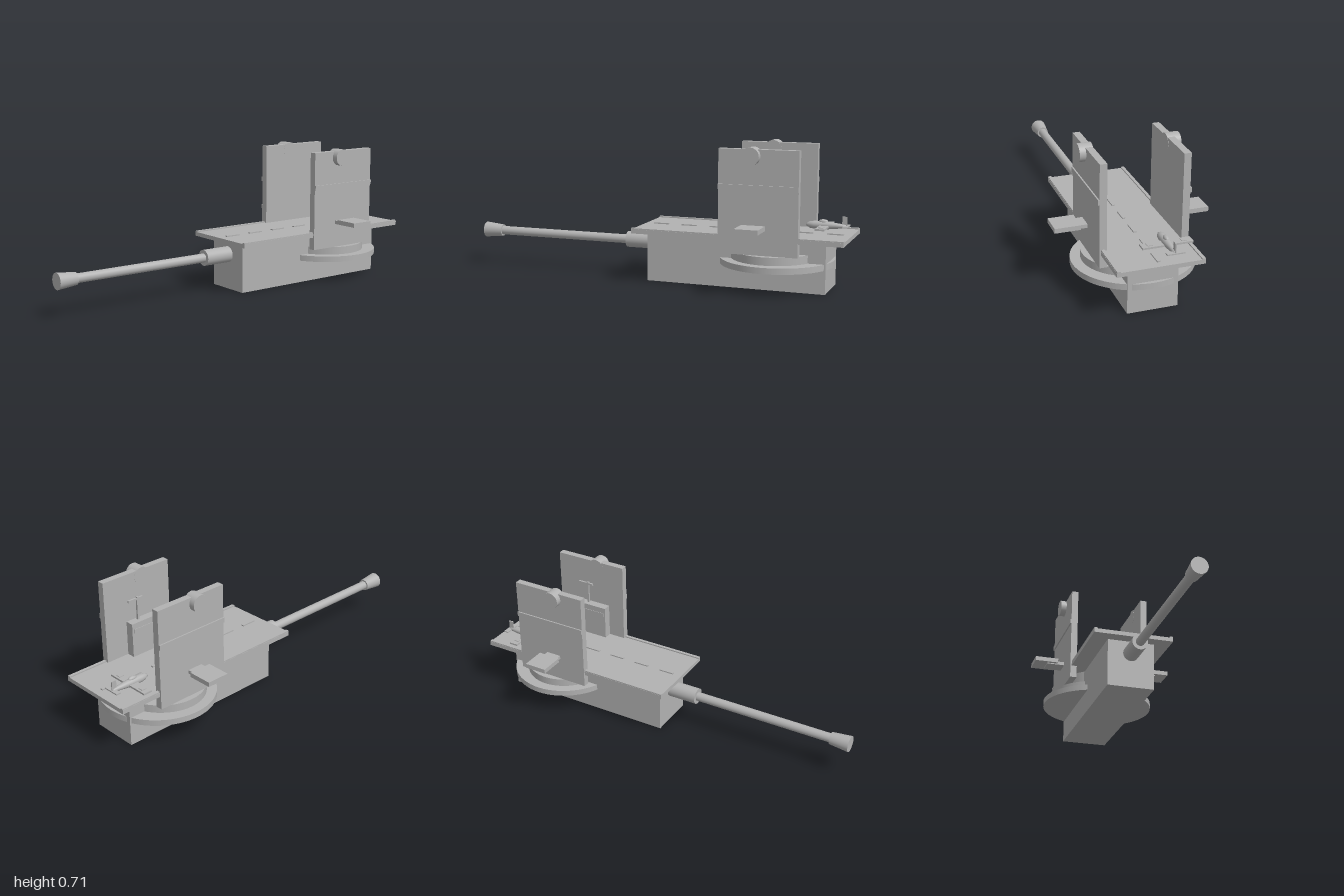
import * as THREE from 'three';

export function createModel() {
  const model = new THREE.Group();
  model.name = 'carrierTurret';
  const grey = new THREE.MeshStandardMaterial({ color: 0xb2b2b2 });
  grey.name = 'plainGrey';

  const add = (name, geometry, parent = model) => {
    const mesh = new THREE.Mesh(geometry, grey);
    mesh.name = name;
    parent.add(mesh);
    return mesh;
  };
  // box from its limits on each axis
  const box = (name, x0, x1, y0, y1, z0, z1, parent) =>
    add(name, new THREE.BoxGeometry(x1 - x0, y1 - y0, z1 - z0), parent)
      .position.set((x0 + x1) / 2, (y0 + y1) / 2, (z0 + z1) / 2);
  // upright disc, slightly shortened along z
  const disc = (name, r, y0, y1, z, zScale) => {
    const mesh = add(name, new THREE.CylinderGeometry(r, r, y1 - y0, 64));
    mesh.position.set(0, (y0 + y1) / 2, z);
    mesh.scale.z = zScale;
  };
  // round part along z, front radius first
  const rod = (name, rFront, rBack, z0, z1) => {
    const g = new THREE.CylinderGeometry(rFront, rBack, z1 - z0, 40).rotateX(Math.PI / 2);
    add(name, g).position.set(0, 0.182, (z0 + z1) / 2);
  };

  // hull and turntable
  box('hull', -0.122, 0.122, 0, 0.247, -0.9, 0.01);
  disc('lowerRing', 0.296, 0.117, 0.147, -0.633, 0.96);
  disc('upperRing', 0.245, 0.147, 0.187, -0.622, 0.9);
  disc('deckPedestal', 0.19, 0.187, 0.252, -0.6, 1);

  // gun
  rod('gunSleeve', 0.041, 0.041, 0, 0.165);
  rod('gunBarrel', 0.023, 0.023, 0.16, 0.91);
  rod('muzzle', 0.041, 0.031, 0.9, 1);

  // flight deck with curbs and centre dashes
  box('deck', -0.208, 0.208, 0.252, 0.273, -1, 0.065);
  for (let i = 0; i < 7; i++) {
    const z = -0.02 - i * 0.15;
    box('deckDash', -0.007, 0.007, 0.273, 0.279, z - 0.04, z + 0.04);
  }

  // mirrored side parts
  for (const s of [-1, 1]) {
    const side = new THREE.Group();
    side.name = s > 0 ? 'leftSide' : 'rightSide';
    model.add(side);
    const sideBox = (name, x0, x1, ...rest) =>
      box(name, Math.min(s * x0, s * x1), Math.max(s * x0, s * x1), ...rest, side);
    sideBox('deckCurb', 0.191, 0.207, 0.273, 0.279, -1, 0.065);
    sideBox('sideWall', 0.18, 0.215, 0.187, 0.695, -0.785, -0.39);
    sideBox('wallBand', 0.21, 0.222, 0.5, 0.525, -0.785, -0.39);
    sideBox('platformArm', 0.215, 0.31, 0.31, 0.328, -0.615, -0.535);
    sideBox('platform', 0.253, 0.378, 0.315, 0.338, -0.635, -0.518);
    const pivot = add('wallPivot',
      new THREE.CylinderGeometry(0.043, 0.043, 0.066, 40).rotateZ(Math.PI / 2), side);
    pivot.position.set(s * 0.212, 0.663, -0.555);
  }

  // control tower and mast
  box('tower', 0.137, 0.18, 0.273, 0.45, -0.66, -0.48);
  box('towerWindow', 0.134, 0.138, 0.4, 0.42, -0.65, -0.49);
  box('mast', 0.16, 0.17, 0.45, 0.57, -0.605, -0.595);
  box('mastArm', 0.16, 0.17, 0.555, 0.565, -0.655, -0.57);

  // parked aeroplane, nose toward +z
  const plane = new THREE.Group();
  plane.name = 'aeroplane';
  plane.position.set(-0.08, 0.303, -0.847);
  model.add(plane);
  const profile = [[0, -0.108], [0.009, -0.106], [0.014, -0.06], [0.02, -0.01], [0.02, 0.05],
    [0.016, 0.075], [0.008, 0.086], [0.007, 0.092], [0, 0.092]].map(p => new THREE.Vector2(...p));
  add('fuselage', new THREE.LatheGeometry(profile, 24).rotateX(Math.PI / 2), plane);
  box('wing', -0.122, 0.122, -0.009, 0, -0.025, 0.022, plane);
  box('tailplane', -0.043, 0.043, -0.003, 0.003, -0.12, -0.095, plane);
  box('tailFin', -0.003, 0.003, 0, 0.048, -0.113, -0.088, plane);
  const canopy = add('canopy', new THREE.SphereGeometry(0.012, 20, 12), plane);
  canopy.position.set(0, 0.018, 0.005);
  canopy.scale.z = 2;
  for (const s of [-1, 1])
    box('wingPlate', s * 0.082 - 0.013, s * 0.082 + 0.013, 0, 0.003, -0.014, 0.012, plane);

  return model;
}
